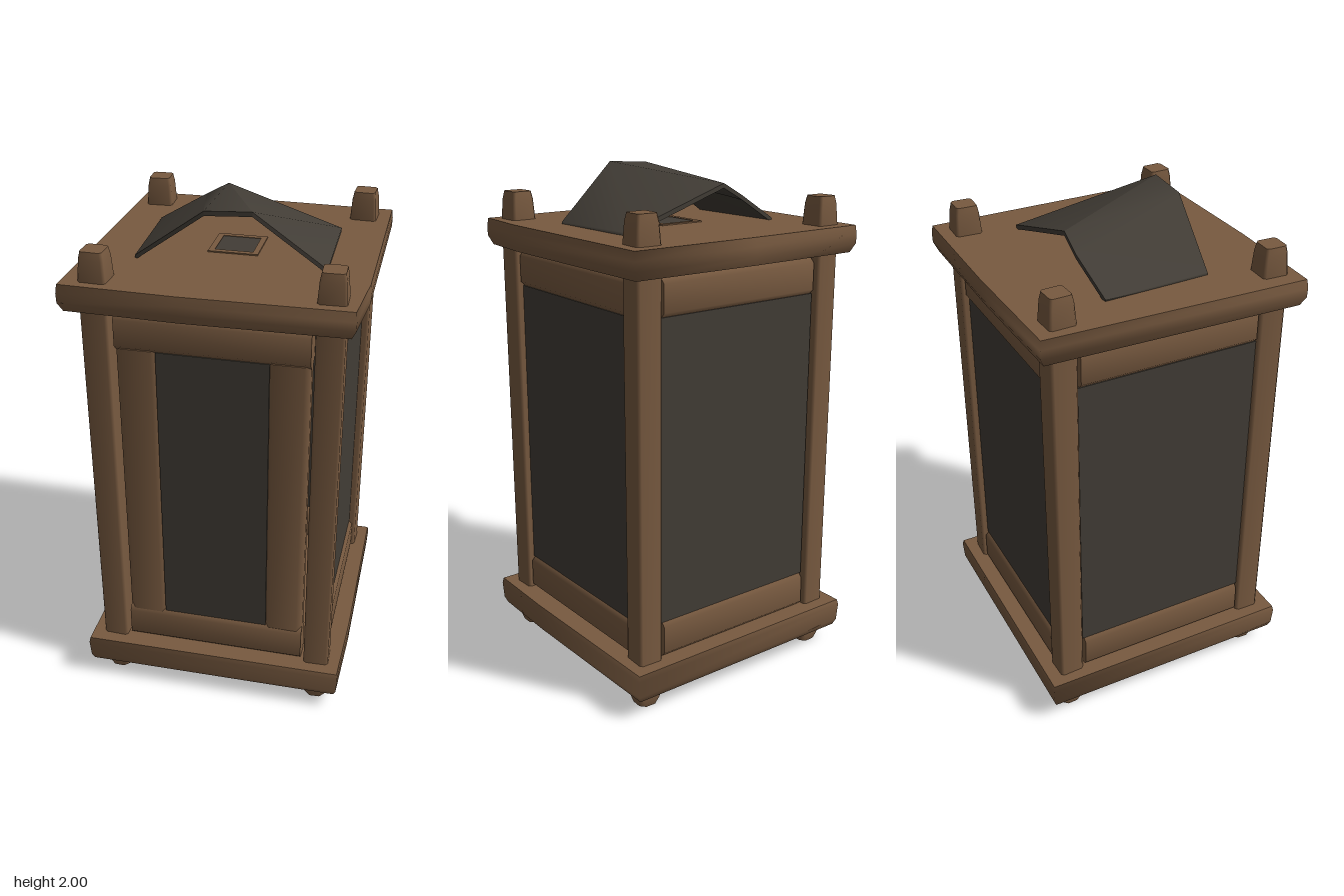
import * as THREE from 'three';

const wood = new THREE.MeshStandardMaterial({ name: 'brownWood', color: 0x785a40 });
const dark = new THREE.MeshStandardMaterial({ name: 'darkPanel', color: 0x423d36 });

// Skin a stack of equal-length 3D rings; smooth around the sides, flat end caps.
function loft(rings) {
  const n = rings[0].length, pos = rings.flat(2), idx = [];
  for (let i = 0; i < rings.length - 1; i++) {
    for (let j = 0; j < n; j++) {
      const a = i * n + j, b = i * n + (j + 1) % n;
      idx.push(a, b, b + n, a, b + n, a + n);
    }
  }
  const base = rings.length * n;
  pos.push(...rings[0].flat(), ...rings[rings.length - 1].flat());
  for (let j = 1; j < n - 1; j++) {
    idx.push(base, base + j + 1, base + j);
    idx.push(base + n, base + n + j, base + n + j + 1);
  }
  const g = new THREE.BufferGeometry();
  g.setAttribute('position', new THREE.Float32BufferAttribute(pos, 3));
  g.setIndex(idx);
  g.computeVertexNormals();
  return g;
}

// Rectangle with clipped corners at height y.
function ring(y, w, d, c) {
  const x = w / 2, z = d / 2;
  return [
    [-x + c, y, z], [x - c, y, z], [x, y, z - c], [x, y, -z + c],
    [x - c, y, -z], [-x + c, y, -z], [-x, y, -z + c], [-x, y, z - c],
  ];
}

function beam(w, d, len, c) {
  const h = len / 2;
  return loft([ring(-h, w, d, c), ring(h, w, d, c)]);
}

function add(parent, name, geometry, material, x = 0, y = 0, z = 0) {
  const m = new THREE.Mesh(geometry, material);
  m.name = name;
  m.position.set(x, y, z);
  parent.add(m);
  return m;
}

// Slightly uneven hewn slab: levels are [y, scale].
function slab(corners, levels) {
  return loft(levels.map(([y, s]) => corners.map(([x, z]) => [x * s, y, z * s])));
}

export function createModel() {
  const model = new THREE.Group();
  model.name = 'lantern';

  // Base and lid slabs
  const lidCorners = [[-0.54, 0.512], [-0.1, 0.525], [0.52, 0.515], [0.539, 0.27], [0.532, -0.525], [0, -0.533], [-0.515, -0.525]];
  const baseCorners = [[-0.521, 0.527], [0.525, 0.522], [0.532, 0.2], [0.525, -0.522], [-0.515, -0.525]];
  add(model, 'base', slab(baseCorners, [[0.07, 0.975], [0.095, 0.995], [0.165, 1.003], [0.187, 0.995]]), wood);
  add(model, 'lid', slab(lidCorners, [[1.675, 0.968], [1.71, 0.998], [1.745, 1], [1.78, 0.992]]), wood);

  // Corner posts with tapered tips above the lid
  for (const x of [-0.419, 0.427]) {
    for (const z of [-0.42, 0.423]) {
      const post = loft([
        ring(0, 0.08, 0.08, 0.02), ring(0.03, 0.094, 0.094, 0.012), ring(0.08, 0.1, 0.1, 0.01),
        ring(1.78, 0.104, 0.104, 0.01), ring(1.86, 0.093, 0.093, 0.009), ring(1.89, 0.082, 0.082, 0.009),
      ]);
      add(model, 'cornerPost', post, wood, x, 0, z).rotation.y = x * z > 0 ? 0.04 : -0.04;
    }
  }

  // Four walls: top and bottom rails around a panel; the front adds two stiles
  ['front', 'left', 'back', 'right'].forEach((side, i) => {
    const wall = new THREE.Group();
    wall.name = side + 'Wall';
    wall.rotation.y = i * Math.PI / 2;
    const shift = [0.004, -0.004, -0.004, 0.004][i];
    for (const [y, h, name] of [[0.259, 0.158, 'bottomRail'], [1.59, 0.152, 'topRail']]) {
      add(wall, name, beam(h, 0.085, 0.718, 0.024), wood, shift, y, 0.419).rotation.z = Math.PI / 2;
    }
    const width = i === 0 ? 0.42 : 0.733;
    add(wall, 'panel', new THREE.BoxGeometry(width, 1.19, 0.035), dark, shift, 0.925, 0.43);
    if (i === 0) {
      for (const x of [-0.278, 0.285]) add(wall, 'stile', beam(0.156, 0.075, 1.2, 0.022), wood, x, 0.925, 0.417);
    }
    model.add(wall);
  });

  // Vent in the lid, framed by thin strips
  add(model, 'ventOpening', new THREE.BoxGeometry(0.15, 0.006, 0.15), dark, 0, 1.78, 0);
  for (const s of [-1, 1]) {
    add(model, 'ventStrip', new THREE.BoxGeometry(0.19, 0.008, 0.022), wood, 0, 1.781, s * 0.084);
    add(model, 'ventStrip', new THREE.BoxGeometry(0.022, 0.008, 0.15), wood, s * 0.084, 1.781, 0);
  }

  // Folded sheet cowl over the vent
  const cowl = new THREE.Group();
  cowl.name = 'cowl';
  const back = [[-0.36, 1.787, -0.21], [-0.18, 1.89, -0.235], [-0.09, 1.94, -0.235], [0.36, 1.792, -0.235]];
  const front = [[-0.342, 1.79, 0.21], [-0.07, 1.99, 0.242], [0.105, 2, 0.242], [0.37, 1.787, 0.187]];
  const drop = ([x, y, z]) => [x, y - 0.018, z];
  for (let i = 0; i < 3; i++) {
    const rings = [back, front].map((e) => [drop(e[i]), drop(e[i + 1]), e[i + 1], e[i]]);
    add(cowl, 'cowlSheet', loft(rings), dark);
  }
  model.add(cowl);

  return model;
}
